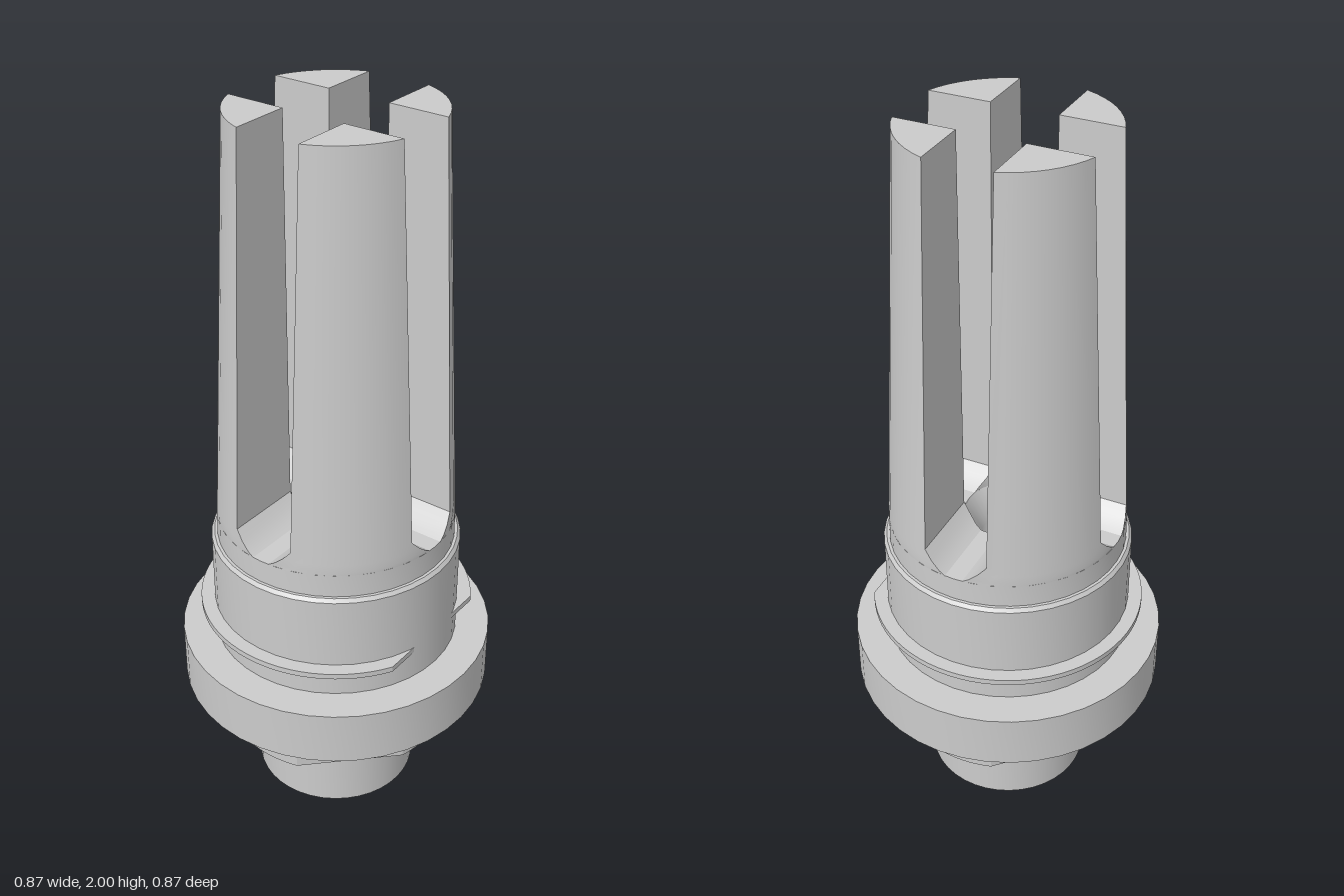
import * as THREE from 'three';
import { toCreasedNormals } from 'three/addons/utils/BufferGeometryUtils.js';

const BORE = 0.117;
const rad = THREE.MathUtils.degToRad;

// Prong loft levels: height, outer radius, half width of the slot beside it
const LEVELS = [
  [0.885, 0.325, 0.025],
  [0.895, 0.325, 0.042],
  [0.915, 0.324, 0.066],
  [0.94, 0.322, 0.088],
  [2, 0.268, 0.088],
];

// One prong in the +x +z quadrant, lofted from slot floor to tip
function prongGeometry() {
  const n = 8;
  const pos = [];
  const index = [];
  const ringSize = 2 * (n + 1);
  for (const [y, r, h] of LEVELS) {
    const arc = (radius, t) => {
      const a = Math.asin(h / radius);
      const angle = a + (Math.PI / 2 - 2 * a) * t;
      pos.push(radius * Math.cos(angle), y, radius * Math.sin(angle));
    };
    for (let i = 0; i <= n; i++) arc(r, i / n);
    // inner edge follows the bore, or becomes a sharp corner outside it
    for (let i = n; i >= 0; i--) arc(Math.max(BORE, h * Math.SQRT2), i / n);
  }
  for (let l = 0; l < LEVELS.length - 1; l++) {
    for (let i = 0; i < ringSize; i++) {
      const j = (i + 1) % ringSize;
      const a = l * ringSize + i;
      const b = l * ringSize + j;
      index.push(a, a + ringSize, b, b, a + ringSize, b + ringSize);
    }
  }
  // flat tip
  const top = (LEVELS.length - 1) * ringSize;
  for (let k = 0; k < n; k++) {
    const o = top + k;
    const i = top + ringSize - 1 - k;
    index.push(o, i, o + 1, i, i - 1, o + 1);
  }
  const g = new THREE.BufferGeometry();
  g.setAttribute('position', new THREE.Float32BufferAttribute(pos, 3));
  g.setIndex(index);
  return toCreasedNormals(g, 0.5);
}

// Flat plate from a shape, lying horizontally from y upwards
function plate(shape, y, depth) {
  const g = new THREE.ExtrudeGeometry(shape, { depth, bevelEnabled: false, curveSegments: 32 });
  g.rotateX(-Math.PI / 2);
  g.translate(0, y, 0);
  return toCreasedNormals(g, 0.4);
}

function lathe(points) {
  const profile = points.map(([x, y]) => new THREE.Vector2(x, y));
  return toCreasedNormals(new THREE.LatheGeometry(profile, 40), 0.5);
}

export function createModel() {
  const model = new THREE.Group();
  const material = new THREE.MeshStandardMaterial({ color: 0xcccccc });
  const add = (name, geometry) => {
    const mesh = new THREE.Mesh(geometry, material);
    mesh.name = name;
    model.add(mesh);
    return mesh;
  };

  // Turned body with plug, flange, sleeve and central bore
  add('body', lathe([
    [0, 0], [0.228, 0], [0.228, 0.35], [0.435, 0.35], [0.435, 0.507],
    [0.342, 0.507], [0.342, 0.81], [0.334, 0.82], [0.326, 0.82], [0.325, 0.885],
    [BORE, 0.885], [0.075, 0.8], [0.075, 0.5], [0.065, 0.463], [0.038, 0.435], [0, 0.425],
  ]));

  // Collar under the flange with two opposed wrench flats
  const collar = new THREE.Shape();
  collar.absarc(0, 0, 0.32, rad(-17), rad(107), false);
  collar.absarc(0, 0, 0.32, rad(163), rad(287), false);
  collar.closePath();
  add('wrenchCollar', plate(collar, 0.203, 0.15));

  // Thin retaining ring, cut straight on its left side
  const ring = new THREE.Shape();
  ring.absarc(0, 0, 0.38, rad(30), rad(330), false);
  ring.closePath();
  const hole = new THREE.Path();
  hole.absarc(0, 0, 0.3, 0, Math.PI * 2, true);
  ring.holes.push(hole);
  add('retainingRing', plate(ring, 0.59, 0.016));

  // Four tapered prongs separated by round-bottomed slots
  const prong = prongGeometry();
  for (let k = 0; k < 4; k++) add('prong' + (k + 1), prong).rotation.y = (k * Math.PI) / 2;

  return model;
}
